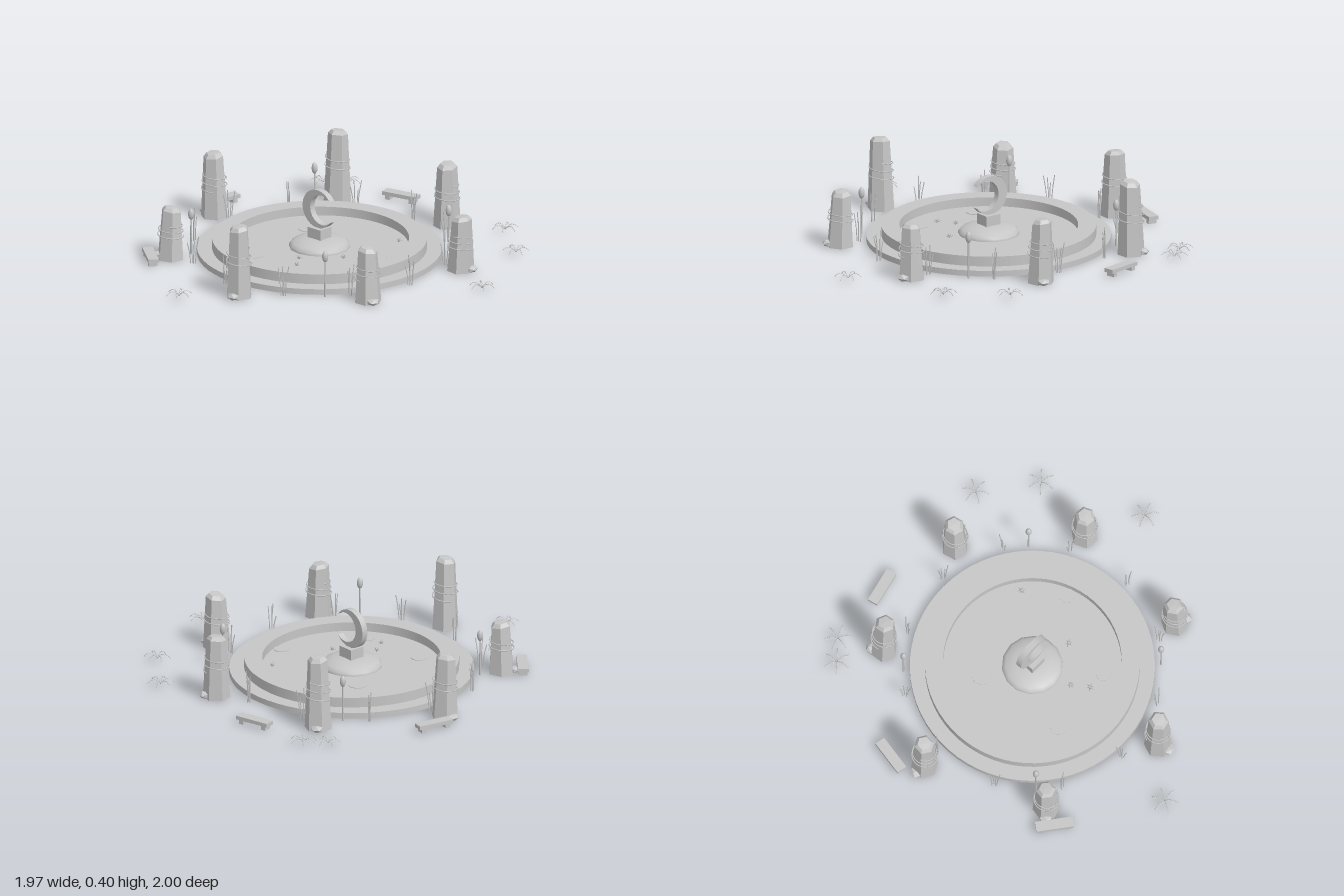
import * as THREE from 'three';
import { mergeGeometries } from 'three/addons/utils/BufferGeometryUtils.js';

const stone = new THREE.MeshStandardMaterial({ color: 0xc6c6c6 });
stone.name = 'pale stone';
const leaf = new THREE.MeshStandardMaterial({ color: 0xc6c6c6, side: THREE.DoubleSide });
leaf.name = 'pale leaf';

const CX = -0.085, CZ = -0.07;

function add(parent, name, geometry, x = 0, y = 0, z = 0, material = stone) {
  const mesh = new THREE.Mesh(geometry, material);
  mesh.name = name;
  mesh.position.set(x, y, z);
  parent.add(mesh);
  return mesh;
}

function group(parent, name, x, z, turn = 0) {
  const g = new THREE.Group();
  g.name = name;
  g.position.set(x, 0, z);
  g.rotation.y = turn;
  parent.add(g);
  return g;
}

function faceted(geometry) {
  const g = geometry.index ? geometry.toNonIndexed() : geometry;
  g.computeVertexNormals();
  return g;
}

// Lathe whose edges stay sharp: every profile segment is its own band
function bands(points, segments) {
  const parts = [];
  for (let i = 0; i < points.length - 1; i++) {
    parts.push(new THREE.LatheGeometry([points[i], points[i + 1]].map(p => new THREE.Vector2(...p)), segments));
  }
  return mergeGeometries(parts);
}

function tube(points, radius, steps) {
  const curve = new THREE.CatmullRomCurve3(points.map(p => new THREE.Vector3(...p)));
  return new THREE.TubeGeometry(curve, steps, radius, 5);
}

// Stepped round pool with a sunken floor
function buildPool(root) {
  const pool = group(root, 'pool', CX, CZ);
  add(pool, 'poolBasin', bands([[0, 0], [0.63, 0], [0.63, 0.03], [0.553, 0.03],
    [0.553, 0.083], [0.46, 0.083], [0.46, 0.036], [0, 0.036]], 64));
  add(pool, 'moonPlinth', new THREE.LatheGeometry([[0.158, 0.036], [0.157, 0.05], [0.14, 0.066],
    [0.1, 0.08], [0.05, 0.087], [0, 0.089]].map(p => new THREE.Vector2(...p)), 14));
  add(pool, 'moonBlock', new THREE.BoxGeometry(0.09, 0.06, 0.085), 0, 0.112, 0);

  // Crescent bounded by two arcs that meet at the tips
  const R = 0.103, r = 0.08, d = 0.03;
  const tx = (d * d + R * R - r * r) / (2 * d), ty = Math.sqrt(R * R - tx * tx);
  const a = Math.atan2(ty, tx), b = Math.atan2(ty, tx - d);
  const moon = new THREE.Shape();
  moon.absarc(0, 0, R, a, 2 * Math.PI - a, false);
  moon.absarc(d, 0, r, 2 * Math.PI - b, b, true);
  const geo = new THREE.ExtrudeGeometry(moon, { depth: 0.034, bevelEnabled: false, curveSegments: 28 });
  add(pool, 'crescentMoon', geo, 0, 0.243, -0.017);

  // Floating pads and pointed flowers
  for (const [x, z, s] of [[-0.22, -0.15, 0.05], [0.4, -0.13, 0.04], [-0.15, 0.33, 0.045], [0.22, 0.3, 0.04]]) {
    add(pool, 'lilyPad', new THREE.CylinderGeometry(s, s, 0.003, 14), x, 0.0375, z);
  }
  for (const [x, z] of [[0.172, -0.39], [0.13, -0.016], [-0.03, 0.148], [0.03, 0.23]]) {
    const flower = group(pool, 'waterFlower', x - CX, z - CZ);
    const petals = [];
    for (let i = 0; i < 12; i++) {
      const inner = i % 2;
      const petal = new THREE.ConeGeometry(0.007, 0.024, 4);
      petal.scale(1, 1, 0.5).translate(0, 0.012, 0);
      petal.rotateX(inner ? 0.6 : 1.25).rotateY(i * Math.PI / 6);
      petals.push(petal);
    }
    add(flower, 'petals', mergeGeometries(petals), 0, 0.04, 0);
    add(flower, 'flowerHeart', new THREE.SphereGeometry(0.007, 8, 6), 0, 0.047, 0);
  }
}

// Tapered standing stone with tilted cap, winding vine and a rock at its foot
function buildPillar(root, i, height) {
  const angle = (-23 + i * 360 / 7) * Math.PI / 180;
  const p = group(root, 'standingStone', CX + 0.77 * Math.cos(angle), CZ + 0.77 * Math.sin(angle), -angle);
  const sides = 6;
  const profile = [[0, 0], [0.071, 0], [0.052, height - 0.025], [0.036, height - 0.006], [0, height - 0.004]];
  const shaft = new THREE.LatheGeometry(profile.map(q => new THREE.Vector2(...q)), sides);
  const pos = shaft.attributes.position;
  for (let k = 0; k < pos.count; k++) {
    const up = pos.getY(k) / height;
    if (up > 0.8) pos.setY(k, pos.getY(k) + 0.13 * (pos.getX(k) * Math.cos(i * 2) + pos.getZ(k) * Math.sin(i * 2)));
    pos.setX(k, pos.getX(k) + 0.006 * up * Math.cos(i * 3));
    pos.setZ(k, pos.getZ(k) + 0.006 * up * Math.sin(i * 3));
  }
  add(p, 'stoneShaft', faceted(shaft));

  const vine = [];
  for (let k = 0; k <= 30; k++) {
    const t = k / 30, w = t * 4.6 * Math.PI + i;
    const rad = 0.067 - 0.007 * t;
    vine.push([rad * Math.cos(w), height * (0.42 + 0.24 * t), rad * Math.sin(w)]);
  }
  add(p, 'vine', tube(vine, 0.003, 70));
  const rock = add(p, 'footRock', faceted(new THREE.IcosahedronGeometry(0.032, 0)), 0.063, 0.018, 0.01 * Math.cos(i * 2));
  rock.scale.set(1, 0.6, 1.1);
}

// Slender post with an oval bud on top
function buildPost(root, x, z) {
  const post = group(root, 'lampPost', x, z);
  add(post, 'postStem', new THREE.CylinderGeometry(0.004, 0.005, 0.2, 6), 0, 0.1, 0);
  add(post, 'postBud', new THREE.SphereGeometry(0.016, 12, 8), 0, 0.22, 0).scale.y = 1.9;
}

// Low slab bench on two feet
function buildBench(root, x, z, turn) {
  const bench = group(root, 'bench', x, z, turn);
  add(bench, 'benchSeat', new THREE.BoxGeometry(0.195, 0.02, 0.055), 0, 0.033, 0);
  for (const s of [-1, 1]) add(bench, 'benchFoot', new THREE.BoxGeometry(0.025, 0.024, 0.045), s * 0.07, 0.012, 0);
}

// Arching frond: spine with paired leaflets
function frondGeometry() {
  const at = t => [0.07 * t, 0.012 + 0.03 * Math.sin(Math.PI * (0.05 + 0.85 * t)), 0];
  const parts = [tube([0, 0.25, 0.5, 0.75, 1].map(at), 0.0016, 8).toNonIndexed()];
  for (let k = 1; k <= 7; k++) {
    const [x, y] = at(k / 7.5), len = 0.017 * (1.1 - 0.07 * k);
    for (const s of [-1, 1]) {
      const g = new THREE.BufferGeometry();
      g.setAttribute('position', new THREE.Float32BufferAttribute(
        [x - 0.002, y, 0, x + 0.003, y, 0, x + len * 0.5, y - 0.004, s * len], 3));
      g.setAttribute('uv', new THREE.Float32BufferAttribute([0, 0, 1, 0, 0, 1], 2));
      g.computeVertexNormals();
      parts.push(g);
    }
  }
  return mergeGeometries(parts);
}

// Clump of thin leaning reeds
function buildReeds(root, i) {
  const angle = (3.5 + i * 30) * Math.PI / 180;
  const reeds = group(root, 'reeds', CX + 0.67 * Math.cos(angle), CZ + 0.67 * Math.sin(angle), i * 1.7);
  for (let k = 0; k < 4; k++) {
    const h = 0.1 + 0.065 * Math.abs(Math.sin(i * 2.3 + k * 1.9));
    const lean = (k - 1.5) * 0.012, x = (k - 1.5) * 0.008, z = 0.006 * Math.sin(k * 4);
    add(reeds, 'reedBlade', tube([[x, 0, z], [x + lean * 0.3, h * 0.5, z], [x + lean, h, z + 0.004]], 0.0026, 5));
  }
}

export function createModel() {
  const root = new THREE.Group();
  root.name = 'moonPoolCircle';
  buildPool(root);
  [0.3, 0.3, 0.39, 0.285, 0.353, 0.4, 0.345].forEach((h, i) => buildPillar(root, i, h));
  for (const x of [-0.553, 0.384]) for (const z of [-0.54, 0.397]) buildPost(root, x, z);
  buildBench(root, -0.304, -0.926, 0.23);
  buildBench(root, -0.943, -0.26, 1.38);
  buildBench(root, -0.64, 0.61, -0.66);
  const frond = frondGeometry();
  [[0.41, -0.94], [0.68, -0.73], [0.915, -0.217], [-0.15, 0.926], [-0.754, -0.82], [-0.659, -0.905]].forEach(([x, z], i) => {
    const fern = group(root, 'fern', x, z, i * 0.7);
    for (let k = 0; k < 6; k++) add(fern, 'frond', frond, 0, 0, 0, leaf).rotation.y = k * Math.PI / 3;
  });
  for (let i = 0; i < 12; i++) buildReeds(root, i);
  return root;
}
